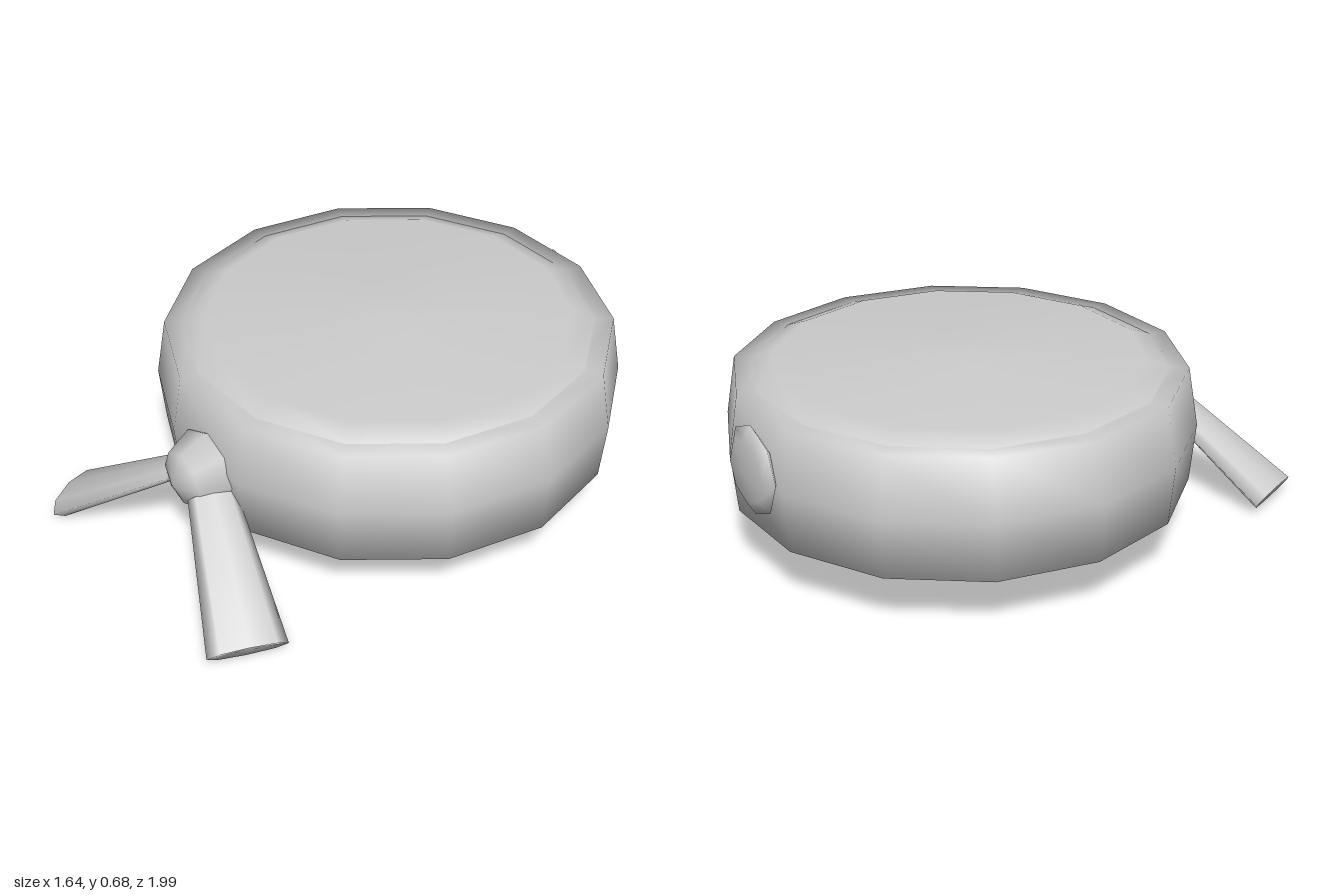
import * as THREE from 'three';

const SIDES = 14;
const grey = new THREE.MeshStandardMaterial({ color: 0xcccccc, side: THREE.DoubleSide });
grey.name = 'light grey';

function add(parent, name, geometry) {
  const mesh = new THREE.Mesh(geometry, grey);
  mesh.name = name;
  parent.add(mesh);
  return mesh;
}

// Smooth turned surface from [radius, height] points
function turned(points, sides, startAngle) {
  const profile = points.map(([r, y]) => new THREE.Vector2(r, y));
  return new THREE.LatheGeometry(profile, sides, startAngle);
}

// Eight-sided ball with its poles facing front and back
function ball(rx, ry, rz) {
  const geometry = new THREE.SphereGeometry(1, 8, 4);
  geometry.rotateX(Math.PI / 2);
  geometry.scale(rx, ry, rz);
  return geometry;
}

// Flattened tail flaring from the knot to its free end; side is +1 or -1
function tail(side) {
  const start = new THREE.Vector3(0.1 * side, 0.335, 0.692);
  const end = new THREE.Vector3(0.515 * side, 0.043, 0.866);
  const axis = end.clone().sub(start);
  const length = axis.length();
  axis.normalize();
  const width = new THREE.Vector3(-axis.z, 0, axis.x).normalize();
  const thickness = new THREE.Vector3().crossVectors(axis, width);
  const geometry = turned([[0, 0], [0.083, 0], [0.136, length], [0, length - 0.01]], 8, 0);
  geometry.scale(0.35, 1, 1);
  geometry.applyMatrix4(new THREE.Matrix4().makeBasis(thickness, axis, width));
  geometry.translate(start.x, start.y, start.z);
  return geometry;
}

export function createModel() {
  const model = new THREE.Group();
  model.name = 'roundBand';

  // Hollow round body, open underneath, with corners on the x axis
  const body = new THREE.Group();
  body.name = 'body';
  body.position.z = -0.155;
  model.add(body);
  const wall = [[0.683, 0.62], [0.683, 0.2], [0.8, 0.2], [0.82, 0.41], [0.785, 0.62], [0.683, 0.622]];
  const dome = [[0.72, 0.6], [0.72, 0.622], [0.64, 0.652], [0.07, 0.682], [0, 0.682]];
  add(body, 'wall', turned(wall, SIDES, Math.PI / 2));
  add(body, 'domedTop', turned(dome, SIDES, Math.PI / 2));

  // Knot and its two tails at the front
  const knot = add(model, 'knot', ball(0.143, 0.143, 0.143));
  knot.position.set(0, 0.365, 0.64);
  add(model, 'leftTail', tail(1));
  add(model, 'rightTail', tail(-1));

  // Flat button at the back
  const button = add(model, 'backButton', ball(0.155, 0.16, 0.038));
  button.position.set(0, 0.43, -0.962);

  return model;
}
